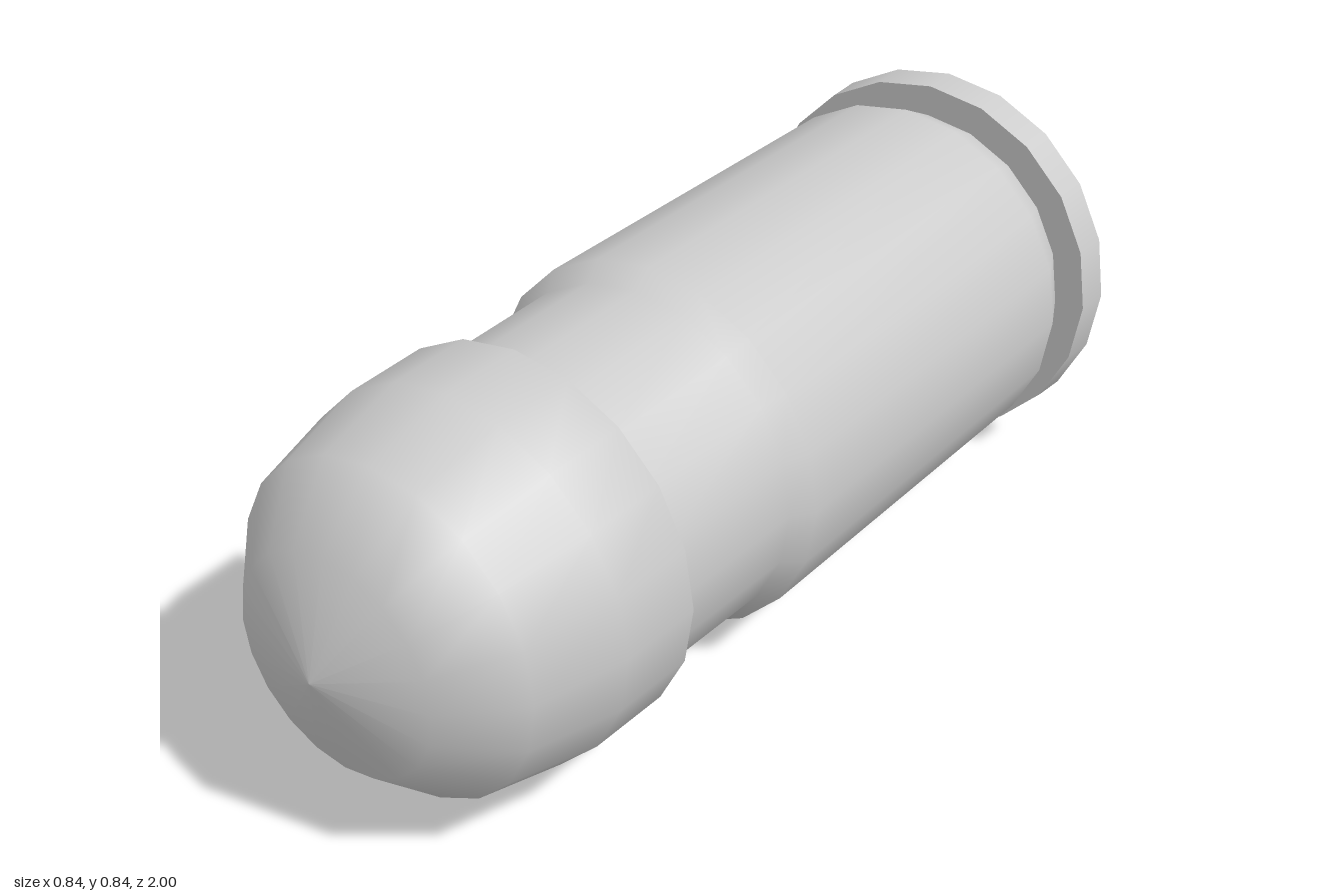
import * as THREE from 'three';

const SIDES = 20;
const AXIS_HEIGHT = 0.418;

export function createModel() {
  const group = new THREE.Group();
  const material = new THREE.MeshStandardMaterial({ color: 0xcccccc });

  // Revolve a [radius, z] profile, listed back to front, around the z axis
  function turned(name, profile) {
    const points = profile.map(([r, z]) => new THREE.Vector2(r, z));
    const geometry = new THREE.LatheGeometry(points, SIDES);
    geometry.rotateX(Math.PI / 2);
    const mesh = new THREE.Mesh(geometry, material);
    mesh.name = name;
    mesh.position.y = AXIS_HEIGHT;
    group.add(mesh);
  }

  // Flat base and rim, kept apart so their edges stay sharp
  turned('baseDisc', [[0, -1], [0.418, -1]]);
  turned('rimEdge', [[0.418, -1], [0.414, -0.92]]);
  turned('rimFront', [[0.414, -0.92], [0.345, -0.92]]);

  // Casing: extractor taper, body, shoulder and neck
  turned('casing', [
    [0.347, -0.92], [0.393, -0.82], [0.386, 0.09], [0.354, 0.13], [0.345, 0.465],
  ]);

  // Rounded nose with an overhanging rear lip
  turned('nose', [
    [0.345, 0.465], [0.382, 0.465], [0.377, 0.64], [0.33, 0.825], [0.216, 0.943], [0, 1],
  ]);

  return group;
}
